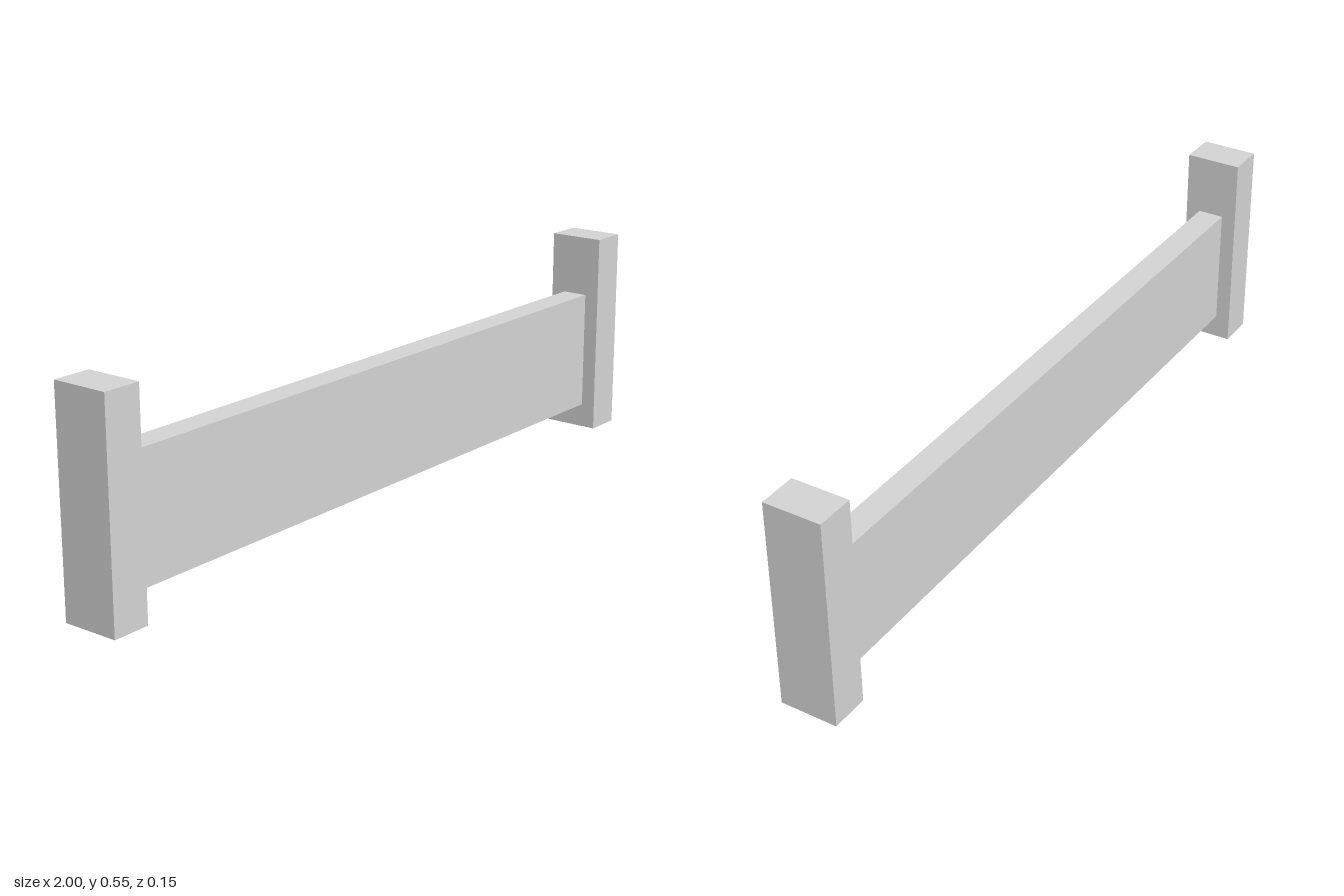
import * as THREE from 'three';

export function createModel() {
  const model = new THREE.Group();
  model.name = 'railing';
  const grey = new THREE.MeshStandardMaterial({ color: 0xd5d5d5 });
  grey.name = 'lightGrey';

  function box(name, w, h, d, x, y) {
    const mesh = new THREE.Mesh(new THREE.BoxGeometry(w, h, d), grey);
    mesh.name = name;
    mesh.position.set(x, y, 0);
    model.add(mesh);
  }

  // End posts
  for (const [name, side] of [['leftPost', 1], ['rightPost', -1]]) {
    box(name, 0.1, 0.55, 0.15, side * 0.95, 0.275);
  }

  // Plank held between the posts, clear of the ground
  box('plank', 1.8, 0.322, 0.07, 0, 0.226);

  return model;
}
